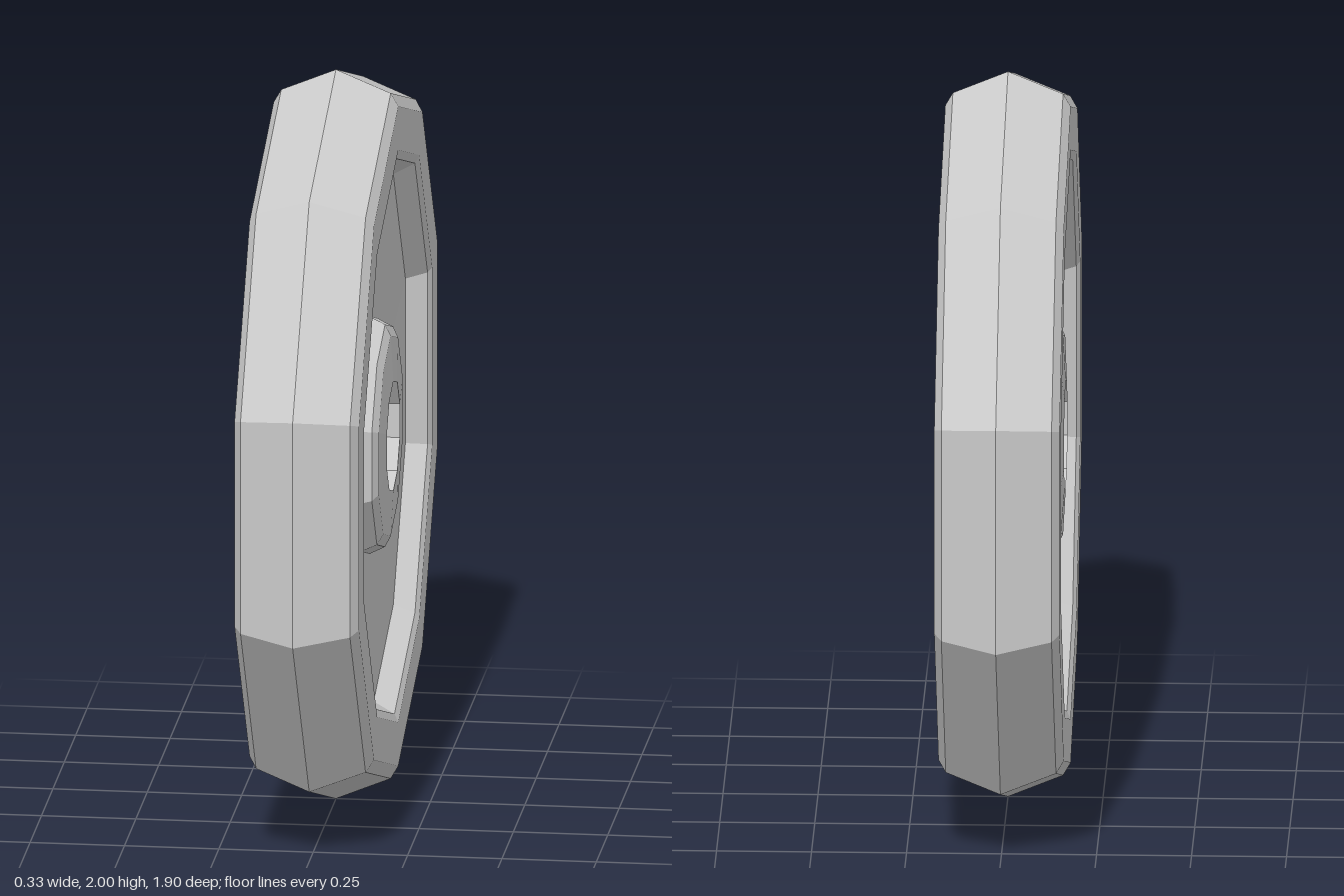
import * as THREE from 'three';

const SIDES = 10;
const material = new THREE.MeshStandardMaterial({ color: 0xcccccc, flatShading: true });

// Turns a [radius, offset] profile around the x axle, with a corner at the top
function turn(name, profile) {
  const points = profile.map(([r, h]) => new THREE.Vector2(r, h));
  const geometry = new THREE.LatheGeometry(points, SIDES, Math.PI / 2);
  geometry.rotateZ(Math.PI / 2);
  const mesh = new THREE.Mesh(geometry, material);
  mesh.name = name;
  return mesh;
}

// Other half of a profile, mirrored across the wheel's middle plane
const mirrored = (half) => half.map(([r, h]) => [r, -h]).reverse();

export function createModel() {
  const wheel = new THREE.Group();
  wheel.name = 'wheel';

  // Rim: ridged tread, bevelled shoulder, flat side, sloped inner wall
  const rimHalf = [[0.94, 0.145], [0.905, 0.165], [0.785, 0.165], [0.762, 0.155], [0.73, 0.1]];
  wheel.add(turn('rim', [...mirrored(rimHalf), [1, 0], ...rimHalf]));

  // Recessed web on both sides
  const webHalf = [[0.73, 0.1], [0.325, 0.09]];
  wheel.add(turn('leftWeb', mirrored(webHalf)));
  wheel.add(turn('rightWeb', webHalf));

  // Hub: raised bevelled boss on both sides with the axle bore through it
  const hubHalf = [[0.325, 0.09], [0.305, 0.13], [0.275, 0.145], [0.15, 0.152]];
  wheel.add(turn('hub', [...hubHalf, ...mirrored(hubHalf)]));

  wheel.position.y = 1;
  const model = new THREE.Group();
  model.add(wheel);
  return model;
}
